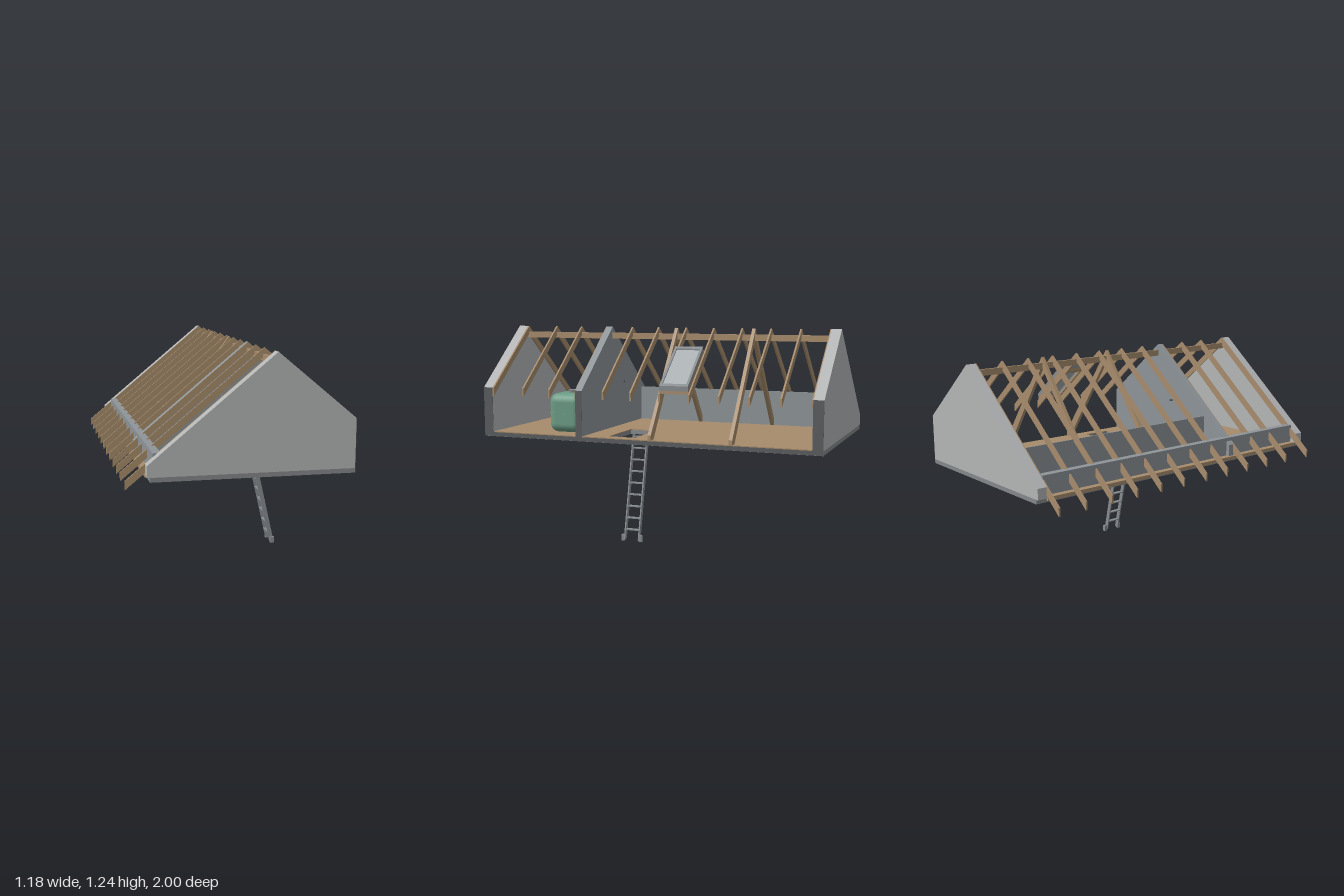
import * as THREE from 'three';
import { RoundedBoxGeometry } from 'three/addons/geometries/RoundedBoxGeometry.js';

const mat = (name, color) => {
  const m = new THREE.MeshStandardMaterial({ color });
  m.name = name;
  return m;
};

export function createModel() {
  const model = new THREE.Group();
  model.name = 'atticSection';

  const gableGrey = mat('gableGrey', 0xb3b4b5);
  const innerGrey = mat('innerGrey', 0x8d9498);
  const slabGrey = mat('slabGrey', 0x84888a);
  const cutGrey = mat('cutGrey', 0x5a5c5e);
  const wood = mat('timber', 0xa68b6b);
  const tankGreen = mat('tankGreen', 0x6b9c85);
  const metal = mat('metal', 0x868b8e);
  const glass = mat('glass', 0xa9aeb1);

  const add = (name, geometry, material, parent = model) => {
    const m = new THREE.Mesh(geometry, material);
    m.name = name;
    parent.add(m);
    return m;
  };
  // box given by its limits on each axis
  const box = (name, material, x0, x1, y0, y1, z0, z1, parent) => {
    const g = new THREE.BoxGeometry(x1 - x0, y1 - y0, z1 - z0);
    g.translate((x0 + x1) / 2, (y0 + y1) / 2, (z0 + z1) / 2);
    return add(name, g, material, parent);
  };
  // cross-section in x and y, extruded from z0 to z1
  const prism = (name, material, points, z0, z1, parent) => {
    const shape = new THREE.Shape(points.map(([x, y]) => new THREE.Vector2(x, y)));
    const g = new THREE.ExtrudeGeometry(shape, { depth: z1 - z0, bevelEnabled: false });
    g.translate(0, 0, z0);
    return add(name, g, material, parent);
  };
  const group = (name) => {
    const g = new THREE.Group();
    g.name = name;
    model.add(g);
    return g;
  };

  // roof lines
  const RX = 0.172, RY = 1.235, EAST = 0.59;
  const roofL = (x) => RY - 0.825 * (RX - x);
  const roofR = (x) => RY - 0.825 * (x - RX);

  // floor slab and boards with a ladder hatch
  const floorPlate = (name, material, x0, x1, y0, y1, z) => {
    const s = new THREE.Shape([[x0, -z], [x1, -z], [x1, z], [x0, z]].map((p) => new THREE.Vector2(...p)));
    s.holes.push(new THREE.Path([[0.22, -0.23], [0.22, -0.07], [0.53, -0.07], [0.53, -0.23]].map((p) => new THREE.Vector2(...p))));
    const g = new THREE.ExtrudeGeometry(s, { depth: y1 - y0, bevelEnabled: false });
    g.rotateX(-Math.PI / 2);
    g.translate(0, y0, 0);
    add(name, g, material);
  };
  floorPlate('floorSlab', slabGrey, -0.475, EAST, 0.605, 0.629, 1);
  floorPlate('floorBoards', wood, -0.475, EAST, 0.629, 0.634, 0.94);
  box('eavePlate', wood, -0.49, -0.475, 0.615, 0.634, -0.94, 0.94);
  box('slabCutFace', cutGrey, EAST, EAST + 0.002, 0.606, 0.629, -1, 1);

  // gables and dividing wall, with dark cut ends
  const wallProfile = (x0) => [[x0, 0.629], [EAST, 0.629], [EAST, roofR(EAST)], [RX, RY], [x0, roofL(x0)]];
  [['frontGable', gableGrey, -0.49, 0.943, 1], ['backGable', gableGrey, -0.49, -1, -0.943],
    ['dividingWall', innerGrey, -0.475, 0.367, 0.407]].forEach(([name, material, x0, z0, z1]) => {
    prism(name, material, wallProfile(x0), z0, z1);
    box(name + 'CutFace', cutGrey, EAST, EAST + 0.002, 0.629, roofR(EAST), z0, z1);
  });
  box('door', innerGrey, 0.02, 0.19, 0.634, 1.07, 0.407, 0.413);
  [[0.355, 0.367], [0.413, 0.425]].forEach(([z0, z1]) =>
    box('doorHandle', cutGrey, 0.027, 0.043, 0.893, 0.904, z0, z1));

  // low walls under the long slope
  box('eaveWall', innerGrey, -0.452, -0.41, 0.634, 0.74, -0.943, 0.943);
  box('kneeWall', innerGrey, -0.258, -0.252, 0.634, 0.842, -0.943, 0.367);

  // ridge beam and rafter pairs
  box('ridgeBeam', wood, RX - 0.008, RX + 0.008, 1.165, 1.2, -0.943, 0.943);
  const D = 0.046, TAIL = -0.593;
  const rafters = group('rafters');
  [0.938, 0.742, 0.573, 0.405, 0.238, 0.072, -0.1, -0.268, -0.437, -0.605, -0.775, -0.942].forEach((z) =>
    prism('rafterPair', wood, [[TAIL, roofL(TAIL)], [TAIL, roofL(TAIL) - D], [RX, RY - D],
      [EAST, roofR(EAST) - D], [EAST, roofR(EAST)], [RX, RY]], z - 0.005, z + 0.005, rafters));

  // steep A-frames from the floor to the ridge
  const frames = group('braceFrames');
  [-0.04, -0.505].forEach((z) => {
    prism('leftBrace', wood, [[-0.285, 0.634], [-0.245, 0.634], [RX, 1.18], [RX, RY - 0.002]], z - 0.01, z + 0.01, frames);
    prism('rightBrace', wood, [[0.55, 0.634], [EAST, 0.634], [EAST, 0.66], [RX, RY - 0.002], [RX, 1.18]], z - 0.01, z + 0.01, frames);
  });

  // skylight lying on the short slope
  const skylight = group('skylight');
  const onSlope = (name, material, x0, x1, a, b, z0, z1) => prism(name, material,
    [[x0, roofR(x0) + a], [x1, roofR(x1) + a], [x1, roofR(x1) + b], [x0, roofR(x0) + b]], z0, z1, skylight);
  const ring = (name, material, x0, w, a, b) => {
    onSlope(name, material, x0, x0 + w, a, b, -0.265, -0.1);
    onSlope(name, material, EAST - w, EAST, a, b, -0.265, -0.1);
    onSlope(name, material, x0 + w, EAST - w, a, b, -0.265, -0.265 + w);
    onSlope(name, material, x0 + w, EAST - w, a, b, -0.1 - w, -0.1);
  };
  ring('skylightCurb', wood, 0.338, 0.014, 0.002, 0.018);
  ring('skylightFrame', metal, 0.347, 0.014, 0.018, 0.045);
  onSlope('skylightPane', glass, 0.36, 0.578, 0.03, 0.037, -0.252, -0.113);

  // water tank with a seam and a cap
  const tank = group('waterTank');
  const body = add('tankBody', new RoundedBoxGeometry(0.228, 0.226, 0.208, 3, 0.05), tankGreen, tank);
  body.position.set(0.395, 0.747, 0.525);
  const seam = new THREE.Shape();
  const hw = 0.117, hd = 0.107, r = 0.052;
  seam.absarc(hw - r, hd - r, r, 0, Math.PI / 2);
  seam.absarc(r - hw, hd - r, r, Math.PI / 2, Math.PI);
  seam.absarc(r - hw, r - hd, r, Math.PI, Math.PI * 1.5);
  seam.absarc(hw - r, r - hd, r, Math.PI * 1.5, Math.PI * 2);
  const seamGeo = new THREE.ExtrudeGeometry(seam, { depth: 0.014, bevelEnabled: false, curveSegments: 4 });
  seamGeo.rotateX(-Math.PI / 2);
  add('tankSeam', seamGeo, tankGreen, tank).position.set(0.395, 0.735, 0.525);
  add('tankCap', new THREE.CylinderGeometry(0.025, 0.025, 0.016, 6), metal, tank).position.set(0.395, 0.867, 0.525);

  // loft ladder
  const ladder = group('ladder');
  const lx = (y) => 0.387 - (y / 0.605) * 0.138;
  [0.112, 0.2].forEach((z, i) => {
    prism('ladderRail', metal, [[lx(0.01) - 0.013, 0.01], [lx(0.01) + 0.013, 0.01],
      [lx(0.607) + 0.013, 0.607], [lx(0.607) - 0.013, 0.607]], z - 0.004, z + 0.004, ladder);
    const foot = i ? 0.21 : 0.102;
    box('ladderFoot', metal, 0.374, 0.396, 0, 0.036, foot - 0.009, foot + 0.009, ladder);
  });
  for (let i = 0; i < 9; i++) {
    const y = 0.065 + i * 0.0665;
    box('ladderRung', metal, lx(y) - 0.014, lx(y) + 0.014, y - 0.003, y + 0.003, 0.112, 0.2, ladder);
  }
  box('hatchRail', metal, 0.222, 0.234, 0.607, 0.629, 0.075, 0.225, ladder);

  return model;
}
